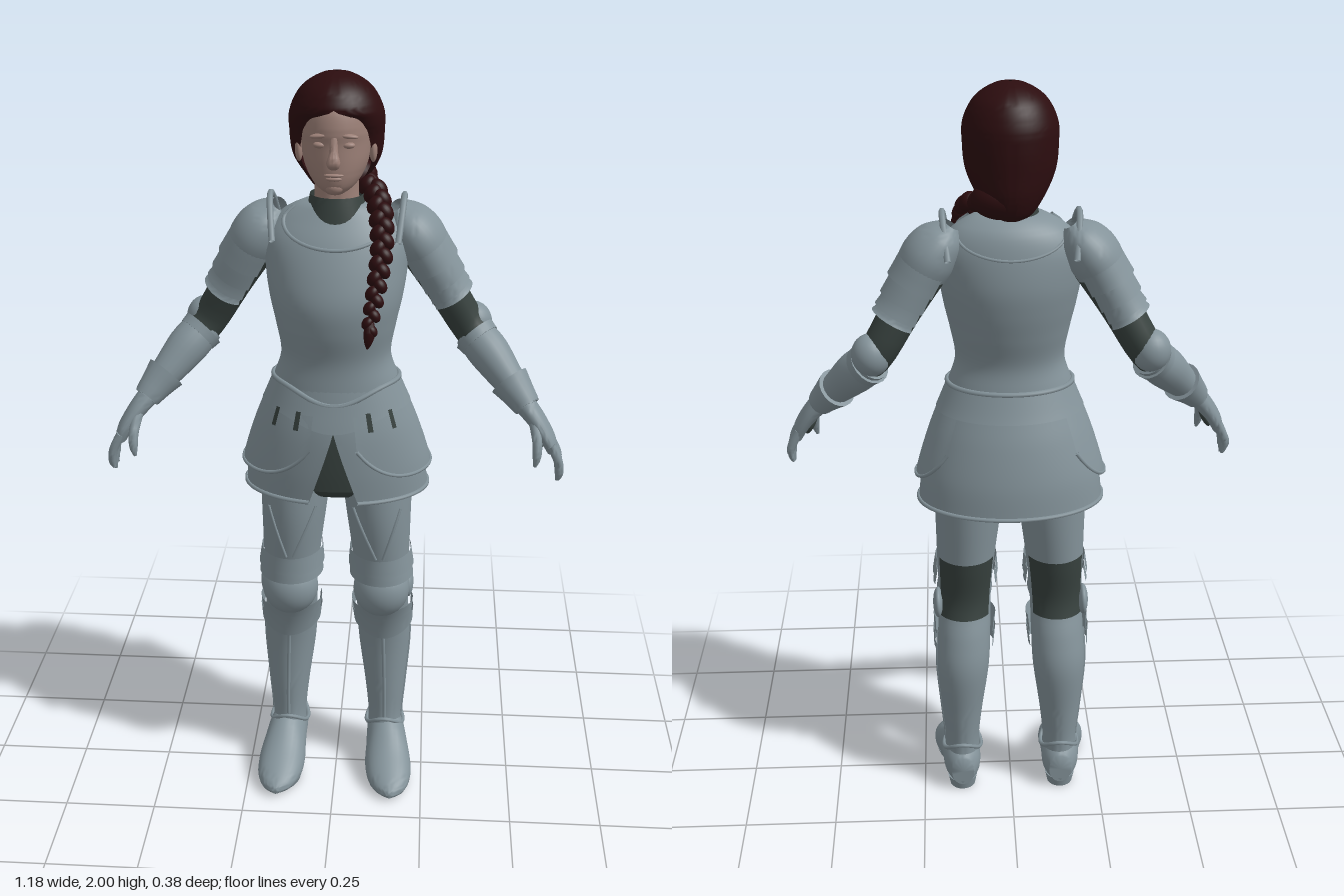
import * as THREE from 'three';
import { toCreasedNormals } from 'three/addons/utils/BufferGeometryUtils.js';

const PI = Math.PI, lerp = THREE.MathUtils.lerp;
const material = (name, color, side = THREE.DoubleSide) => {
  const m = new THREE.MeshStandardMaterial({ color, side });
  m.name = name;
  return m;
};

// smooth interpolation through rows of numbers, t in 0..1
function at(rows, t) {
  const n = rows.length - 1, f = Math.min(Math.max(t, 0), 1) * n, i = Math.min(Math.floor(f), n - 1), k = f - i;
  const r = j => rows[Math.min(Math.max(j, 0), n)];
  return rows[0].map((_, c) => {
    const [a, b, d, e] = [r(i - 1)[c], r(i)[c], r(i + 1)[c], r(i + 2)[c]];
    return b + 0.5 * k * (d - a + k * (2 * a - 5 * b + 4 * d - e + k * (3 * (b - d) + e - a)));
  });
}
// piecewise linear lookup in [key descending, value] pairs
function table(pairs, y) {
  for (let i = 1; i < pairs.length; i++) {
    const [a, p] = pairs[i - 1], [b, q] = pairs[i];
    if (y >= b) return lerp(p, q, Math.min(1, Math.max(0, (a - y) / (a - b))));
  }
  return pairs[pairs.length - 1][1];
}
// surface from f(u around, v along)
function grid(f, nu, nv, closed, caps) {
  const pos = [], idx = [], w = closed ? nu : nu + 1;
  for (let j = 0; j <= nv; j++) for (let i = 0; i < w; i++) pos.push(...f(i / nu, j / nv));
  for (let j = 0; j < nv; j++) for (let i = 0; i < nu; i++) {
    const a = j * w + i, b = j * w + (i + 1) % w;
    idx.push(a, b, b + w, a, b + w, a + w);
  }
  if (caps) [0, nv].forEach(j => {
    const c = [0, 0, 0], id = pos.length / 3;
    for (let i = 0; i < w; i++) for (let k = 0; k < 3; k++) c[k] += pos[(j * w + i) * 3 + k] / w;
    pos.push(...c);
    for (let i = 0; i < w; i++) {
      const a = j * w + i, b = j * w + (i + 1) % w;
      j ? idx.push(a, b, id) : idx.push(b, a, id);
    }
  });
  const g = new THREE.BufferGeometry();
  g.setAttribute('position', new THREE.Float32BufferAttribute(pos, 3));
  g.setIndex(idx);
  return toCreasedNormals(g, 0.9);
}
// point on an upright body: rows are [y, x0, x1, zFront, zBack], top first; angle 90 degrees is the front
function bodyPoint(rows, a, y, off = 0) {
  let lo = 0, hi = 1;
  for (let k = 0; k < 22; k++) { const m = (lo + hi) / 2; at(rows, m)[0] > y ? lo = m : hi = m; }
  const [, x0, x1, zf, zb] = at(rows, lo);
  return [(x0 + x1) / 2 + Math.cos(a) * (Math.abs(x1 - x0) / 2 + off), y, (zf + zb) / 2 + Math.sin(a) * ((zf - zb) / 2 + off)];
}
function shell(rows, { y, arc, off = 0, nu = 40, nv = 24, caps } = {}) {
  const range = typeof y === 'function' ? y : () => y || [rows[0][0], rows[rows.length - 1][0]];
  return grid((u, v) => {
    const [t, b] = range(u), yy = lerp(t, b, v), [a0, a1] = arc ? arc(yy) : [0, 2 * PI];
    return bodyPoint(rows, lerp(a0, a1, u), yy, typeof off === 'function' ? off(u, yy, v) : off);
  }, nu, nv, !arc, caps);
}
// limb along a path: rows are [x, y, z, depth radius, width radius]
function limb(rows, { v: [v0, v1] = [0, 1], arc, off = () => 0, ref = [0, 0, 1], dir, nu = 20, nv = 14, caps = !arc, floor = -1 } = {}) {
  return grid((u, v) => {
    const t = lerp(v0, v1, v), [x, y, z, ra, rb] = at(rows, t);
    const p = at(rows, t - 0.02), q = at(rows, t + 0.02);
    const T = dir ? new THREE.Vector3(...dir) : new THREE.Vector3(q[0] - p[0], q[1] - p[1], q[2] - p[2]).normalize();
    const U = new THREE.Vector3(...ref).addScaledVector(T, -T.dot(new THREE.Vector3(...ref))).normalize();
    const V = T.clone().cross(U), a = arc ? lerp(arc[0], arc[1], u) : u * 2 * PI, o = off(v);
    const P = new THREE.Vector3(x, y, z).addScaledVector(U, Math.cos(a) * (ra + o)).addScaledVector(V, Math.sin(a) * (rb + o));
    return [P.x, Math.max(P.y, floor), P.z];
  }, nu, nv, !arc, caps);
}
const tube = (pts, r, closed = false, n = 48) =>
  new THREE.TubeGeometry(new THREE.CatmullRomCurve3(pts.map(p => new THREE.Vector3(...p)), closed), n, r, 6, closed);
const sample = (n, f) => Array.from({ length: n + 1 }, (_, i) => f(i / n));

export function createModel() {
  const model = new THREE.Group();
  const steel = material('steel', 0x84939a), mail = material('dark mail', 0x38423f);
  const hair = material('dark red hair', 0x2c0d0f), skin = material('skin', 0x9c8077, THREE.FrontSide);
  const add = (name, geo, mat, parent = model) => {
    const m = new THREE.Mesh(geo, mat);
    m.name = name;
    parent.add(m);
    return m;
  };
  const ball = (name, mat, p, s, parent = model) => {
    const m = add(name, new THREE.SphereGeometry(1, 24, 16), mat, parent);
    m.position.set(...p);
    m.scale.set(...s);
    return m;
  };
  const sym = rows => rows.map(([y, r, f, b]) => [y, -r, r, f, b]);

  // cuirass with a pointed waist
  const torso = sym([[1.685, .085, .03, -.08], [1.655, .14, .05, -.115], [1.6, .18, .085, -.135], [1.52, .178, .12, -.145],
    [1.45, .168, .138, -.138], [1.38, .153, .133, -.122], [1.3, .141, .115, -.102], [1.23, .162, .115, -.11], [1.15, .18, .12, -.12]]);
  const waist = a => 1.235 - .045 * Math.max(0, Math.sin(a)) ** 6;
  add('cuirass', shell(torso, { y: u => [1.685, waist(u * 2 * PI)], nu: 56, nv: 40, caps: true }), steel);
  add('waistRim', tube(sample(40, t => bodyPoint(torso, t * 2 * PI, waist(t * 2 * PI), .002)).slice(0, -1), .007, true, 90), steel);
  add('neckRim', tube(sample(16, t => bodyPoint(torso, lerp(.35, PI - .35, t), 1.675 - .085 * Math.sin(t * PI) ** .8, .002)), .005), steel);
  add('backSeam', tube(sample(12, t => bodyPoint(torso, lerp(-PI + .5, -.5, t), 1.645 - .05 * Math.sin(t * PI))), .004), steel);

  // fauld and skirt, split at the front over a mail skirt
  const skirt = sym([[1.24, .158, .113, -.11], [1.18, .178, .122, -.128], [1.1, .206, .132, -.156], [1, .233, .133, -.18], [.915, .243, .128, -.188]]);
  const gap = y => { const g = Math.max(0, (1.12 - y) / .2) * .26; return [PI / 2 + g, PI * 2.5 - g]; };
  add('skirt', shell(skirt, { arc: gap, nu: 64 }), steel);
  add('skirtHem', tube(sample(40, t => bodyPoint(skirt, lerp(...gap(.917), t), .917, .001)), .006, false, 80), steel);
  add('mailSkirt', shell(skirt, { y: [1.2, .945], off: -.014, caps: true }), mail);
  add('fauldBand', shell(skirt, { y: u => [waist(u * 2 * PI) + .005, waist(u * 2 * PI) - .07], off: (u, y, v) => .004 + .006 * v, nu: 56, nv: 6 }), steel);
  ball('mailBreeches', mail, [0, .95, -.02], [.19, .07, .11]);

  // head
  add('neck', shell(sym([[1.78, .058, .03, -.07], [1.72, .054, .03, -.065], [1.64, .062, .035, -.075]]), { nv: 6 }), skin);
  add('mailCollar', shell(sym([[1.705, .066, .042, -.08], [1.675, .073, .05, -.085], [1.63, .09, .06, -.095]]), { nv: 8 }), mail);
  add('face', shell(sym([[1.97, .04, .04, -.07], [1.93, .08, .082, -.1], [1.88, .087, .098, -.11], [1.845, .086, .096, -.105], [1.8, .08, .098, -.095],
    [1.765, .067, .097, -.08], [1.738, .046, .089, -.04], [1.722, .022, .07, 0]]), { nu: 36, nv: 30, caps: true }), skin);
  add('nose', limb([[0, 1.865, .092, .009, .008], [0, 1.83, .1, .011, .013], [0, 1.808, .108, .017, .014], [0, 1.796, .1, .012, .008]], { ref: [1, 0, 0], nu: 12 }), skin);
  ball('upperLip', skin, [0, 1.776, .094], [.024, .005, .009]);
  ball('lowerLip', skin, [0, 1.767, .092], [.02, .006, .009]);
  ball('chin', skin, [0, 1.743, .078], [.022, .017, .016]);
  for (const s of [1, -1]) {
    ball('eyelid', skin, [s * .034, 1.846, .084], [.016, .008, .011]);
    ball('brow', skin, [s * .034, 1.868, .087], [.024, .006, .01]).rotation.z = s * -.1;
    ball('ear', skin, [s * .09, 1.82, .005], [.01, .032, .018]);
  }

  // swept back hair and plait over the left shoulder
  const hairline = y => table([[1.925, 0], [1.905, .55], [1.86, .95], [1.8, 1.2], [1.75, 1.5], [1.69, 1.7]], y);
  add('hair', shell(sym([[2, .004, -.015, -.03], [1.99, .045, .035, -.075], [1.96, .088, .078, -.12], [1.91, .114, .101, -.144], [1.86, .117, .1, -.149],
    [1.8, .112, .09, -.148], [1.745, .09, .06, -.145], [1.7, .06, .02, -.13], [1.685, .03, -.03, -.11]]), {
    arc: y => [PI / 2 + hairline(y), PI * 2.5 - hairline(y)],
    off: (u, y) => -.02 * Math.abs(2 * u - 1) ** 8 * Math.min(1, hairline(y) * 1.5), nu: 56, nv: 44 }), hair);
  ball('napeRoll', hair, [.02, 1.735, -.085], [.078, .05, .055]);
  const plait = new THREE.CatmullRomCurve3([[.03, 1.73, -.09], [.085, 1.72, -.04], [.108, 1.685, .02], [.116, 1.6, .08], [.108, 1.53, .118], [.096, 1.455, .142], [.09, 1.41, .155]]
    .map(p => new THREE.Vector3(...p)));
  for (let i = 0; i < 26; i++) {
    const t = i / 25, s = i % 2 ? 1 : -1, p = plait.getPointAt(t), k = lerp(1, .62, t * t);
    ball('plaitStrand', hair, [p.x + s * .011 * k, p.y, p.z], [.02 * k, .027 * k, .023 * k]).rotation.z = s * .6;
  }
  add('plaitTip', limb([[.092, 1.43, .15, .01, .01], [.091, 1.405, .156, .015, .015], [.088, 1.38, .16, .01, .01], [.086, 1.365, .163, .002, .002]], { nu: 10 }), hair);

  for (const s of [1, -1]) {
    const arm = new THREE.Group(), leg = new THREE.Group();
    arm.name = s > 0 ? 'leftArm' : 'rightArm';
    leg.name = s > 0 ? 'leftLeg' : 'rightLeg';
    model.add(arm, leg);
    const side = rows => rows.map(([x, ...r]) => [s * x, ...r]);
    // arc that leaves the inner side of the arm open
    const outer = open => [s * PI / 2 + open, s * PI / 2 + 2 * PI - open];

    // tasset with rounded lower edge and its strap
    const hip = s > 0 ? [-.75, 1.3] : [PI - 1.3, PI + .75];
    const hem = u => .985 + .09 * Math.abs(2 * u - 1) ** 4;
    add('tasset', shell(skirt, { y: u => [1.165, hem(u)], arc: () => hip, off: (u, y, v) => .008 + .006 * v, nu: 28, nv: 12 }), steel);
    add('tassetRim', tube(sample(24, t => bodyPoint(skirt, lerp(...hip, t), hem(t), .014)), .005), steel);
    for (const a of [.75, 1.1]) {
      const c = s > 0 ? a : PI - a;
      add('tassetStrap', shell(skirt, { y: [1.175, 1.125], arc: () => [c - .035, c + .035], off: .015, nu: 3, nv: 3 }), mail);
    }

    // mail sleeve, pauldron and overlapping lames
    add('mailSleeve', limb(side([[.18, 1.6, -.055, .065, .06], [.22, 1.54, -.065, .062, .056], [.275, 1.45, -.075, .055, .05], [.335, 1.35, -.088, .05, .047], [.385, 1.29, -.06, .047, .045]])), mail, arm);
    const shoulder = side([[.145, 1.665, -.055, .04, .02], [.165, 1.635, -.058, .078, .052], [.2, 1.59, -.06, .094, .068], [.235, 1.53, -.065, .084, .062], [.27, 1.465, -.073, .07, .056], [.29, 1.43, -.077, .064, .054]]);
    add('pauldron', limb(shoulder, { v: [0, .52], arc: outer(.35), nu: 32 }), steel, arm);
    for (let i = 0; i < 4; i++)
      add('lame', limb(shoulder, { v: [.47 + i * .125, .64 + i * .125], arc: outer(.75), off: v => -.001 + .009 * v, nu: 28, nv: 4 }), steel, arm);
    add('shoulderGuard', tube(sample(10, t => [s * (.155 + .012 * Math.sin(t * PI)), 1.6 + .095 * Math.sin(t * PI), lerp(.055, -.15, t)]), .008), steel, arm);

    // elbow cop and vambrace
    ball('elbowCop', steel, [s * .35, 1.347, -.1], [.05, .055, .05], arm);
    const fore = side([[.35, 1.325, -.085, .05, .05], [.39, 1.285, -.055, .054, .054], [.43, 1.24, -.022, .046, .046], [.47, 1.195, .01, .037, .036], [.495, 1.165, .03, .036, .033]]);
    add('vambrace', limb(fore), steel, arm);
    add('elbowRim', limb(fore, { v: [.05, .14], off: v => .007 - .005 * v, nv: 3 }), steel, arm);
    add('gauntletCuff', limb(fore, { v: [.6, .98], off: v => .011 - .009 * v, nv: 5 }), steel, arm);

    // gauntlet with palm, fingers and thumb
    add('hand', limb(side([[.49, 1.17, .03, .034, .028], [.52, 1.135, .043, .042, .024], [.55, 1.09, .056, .045, .02], [.562, 1.06, .06, .04, .014]])), steel, arm);
    ball('palm', mail, [s * .524, 1.098, .053], [.011, .035, .03], arm).rotation.z = s * .45;
    for (let i = 0; i < 4; i++) {
      const z = .024 + i * .023, tip = [1.005, .985, .978, .99][i];
      add('finger', limb(side([[.556, 1.085, z, .011, .011], [.576, 1.045, z + .002, .012, .012], [.582, tip + .02, z + .002, .01, .01], [.578, tip, z + .001, .004, .004]]), { nu: 10 }), steel, arm);
    }
    add('thumb', limb(side([[.512, 1.135, .065, .016, .014], [.52, 1.095, .098, .014, .013], [.52, 1.06, .112, .011, .011], [.516, 1.035, .115, .004, .004]]), { nu: 10 }), steel, arm);

    // leg plates
    const rows = [[.99, .008, .205, .1, -.13], [.85, .026, .202, .1, -.12], [.72, .043, .2, .083, -.106], [.6, .054, .198, .062, -.092], [.5, .057, .202, .025, -.122],
      [.4, .062, .206, .008, -.14], [.25, .082, .195, .004, -.125], [.15, .092, .187, .004, -.116], [.09, .09, .19, .015, -.118]].map(([y, a, b, f, k]) => [y, s * a, s * b, f, k]);
    add('legArmour', shell(rows, { nv: 48, caps: true }), steel, leg);
    add('kneeMail', shell(rows, { y: [.74, .56], arc: () => [-PI / 2 - 1.05, -PI / 2 + 1.05], off: .004, nu: 16, nv: 8 }), mail, leg);
    // knee cop with bands above and below, and a side wing
    ball('kneeCop', steel, [s * .126, .605, .018], [.077, .082, .07], leg);
    const front = [-.35, PI + .35];
    [[.725, .675], [.69, .645], [.55, .505], [.515, .465]].forEach(([t, b], i) =>
      add('kneeBand', shell(rows, { y: u => [t, b - (i > 1 ? .025 * Math.sin(u * PI) ** 4 : 0)], arc: () => front, off: (u, y, v) => .005 + .009 * (i > 1 ? 1 - v * .5 : v), nu: 24, nv: 4 }), steel, leg));
    ball('kneeWing', steel, [s * .2, .59, -.045], [.014, .042, .042], leg);
    // raised ridges on thigh and shin
    for (const k of [1, -1])
      add('thighRidge', tube(sample(8, t => bodyPoint(rows, PI / 2 + k * lerp(.75, .12, t), lerp(.88, .73, t), .001)), .004, false, 16), steel, leg);
    add('shinRidge', tube(sample(10, t => bodyPoint(rows, PI / 2, lerp(.46, .16, t), 0)), .005, false, 20), steel, leg);
    add('greaveSeam', tube(sample(10, t => bodyPoint(rows, s > 0 ? 0 : PI, lerp(.5, .14, t), 0)), .004, false, 20), steel, leg);
    add('ankleRim', tube(sample(20, t => bodyPoint(rows, t * 2 * PI, .135 - .02 * Math.cos(t * 4 * PI), .005)).slice(0, -1), .006, true), steel, leg);

    // sabaton, flat on the ground
    const foot = side([[.14, .065, -.125, .032, .045], [.141, .075, -.095, .05, .062], [.144, .082, -.04, .055, .075], [.149, .065, .01, .06, .075], [.154, .042, .065, .066, .058], [.158, .03, .12, .06, .04], [.161, .023, .165, .038, .022], [.162, .02, .187, .008, .008]]);
    add('sabaton', limb(foot, { ref: [1, 0, 0], dir: [0, 0, 1], floor: .012, nu: 28, nv: 28 }), steel, leg);
    const heel = add('heel', new THREE.CylinderGeometry(.042, .036, .03, 20), steel, leg);
    heel.position.set(s * .141, .015, -.084);
    const sole = add('sole', new THREE.CylinderGeometry(.06, .056, .014, 24), steel, leg);
    sole.position.set(s * .155, .007, .08);
    sole.scale.z = 1.35;
  }
  return model;
}
